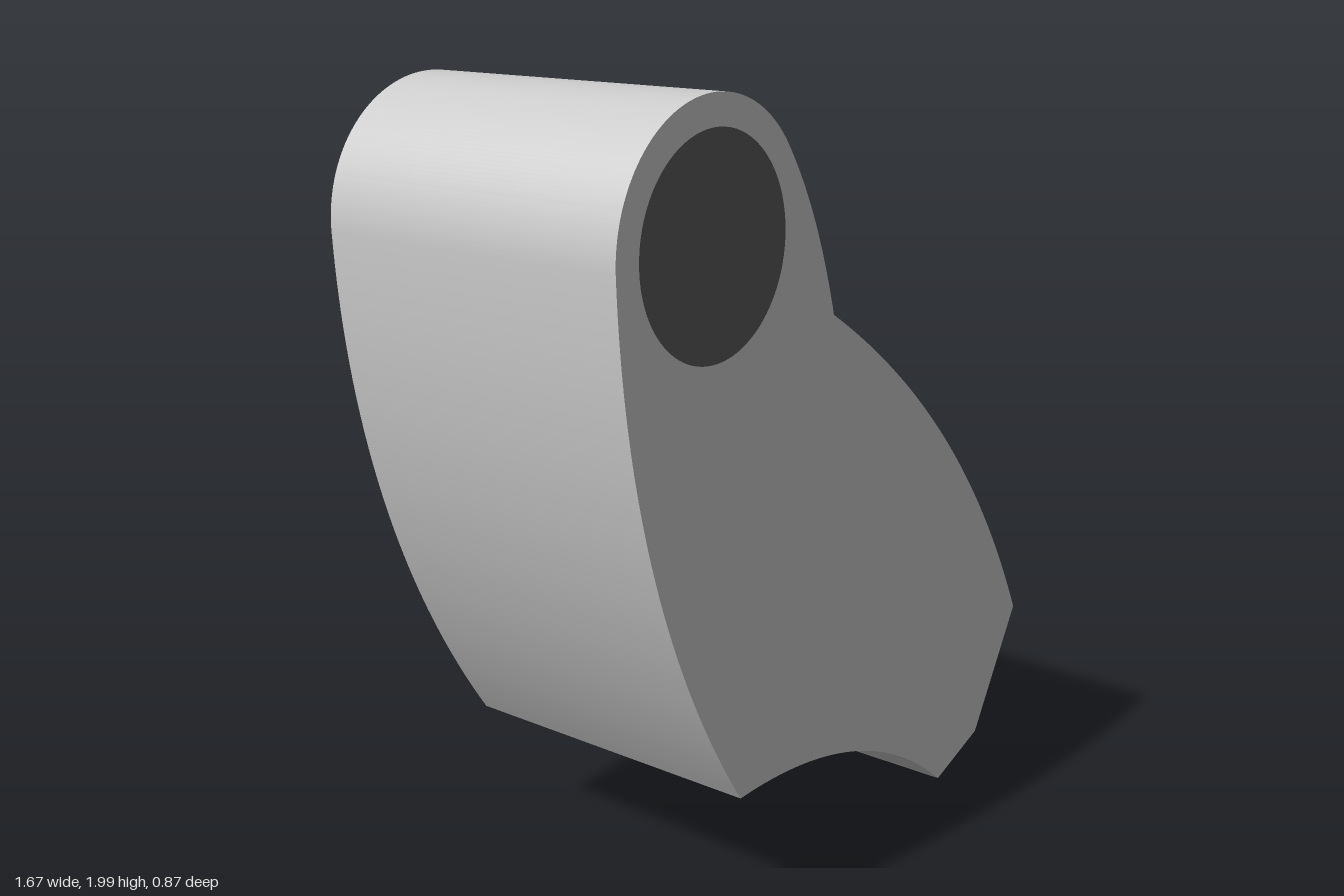
import * as THREE from 'three';
import { toCreasedNormals } from 'three/addons/utils/BufferGeometryUtils.js';

const DEPTH = 0.82;
const TILT = -0.024;
const PIN = { x: -0.52, y: 1.683, r: 0.247 };
const BOSS_R = 0.317;

export function createModel() {
  const group = new THREE.Group();
  const lever = new THREE.Group();
  lever.name = 'lever';

  // Lever outline, counter-clockwise from the lowest tip
  const start = THREE.MathUtils.degToRad(35);
  const outline = new THREE.Shape();
  outline.moveTo(0.432, 0.028);
  outline.lineTo(0.633, 0.088);
  outline.lineTo(0.835, 0.4);
  outline.quadraticCurveTo(0.525, 1.055, -0.085, 1.45); // convex flank
  outline.quadraticCurveTo(-0.147, 1.702,
    PIN.x + BOSS_R * Math.cos(start), PIN.y + BOSS_R * Math.sin(start)); // neck
  outline.absarc(PIN.x, PIN.y, BOSS_R, start, Math.PI, false); // rounded boss
  outline.quadraticCurveTo(-0.837, 0.977, -0.468, 0.38); // left flank
  outline.quadraticCurveTo(0.05, 0.38, 0.432, 0.028); // concave foot

  const bore = new THREE.Path();
  bore.absarc(PIN.x, PIN.y, PIN.r, 0, Math.PI * 2, true);
  outline.holes.push(bore);

  // Thick lever body
  const bodyGeometry = new THREE.ExtrudeGeometry(outline, {
    depth: DEPTH, bevelEnabled: false, curveSegments: 40,
  });
  bodyGeometry.translate(0, -1.01, -DEPTH / 2);
  const body = new THREE.Mesh(
    toCreasedNormals(bodyGeometry, 0.4),
    new THREE.MeshStandardMaterial({ color: 0xcccccc }),
  );
  body.name = 'leverBody';
  lever.add(body);

  // Dark pivot pin, flush with both faces
  const pin = new THREE.Mesh(
    new THREE.CylinderGeometry(PIN.r, PIN.r, DEPTH, 80),
    new THREE.MeshStandardMaterial({ color: 0x5a5a5a }),
  );
  pin.name = 'pivotPin';
  pin.rotation.x = Math.PI / 2;
  pin.position.set(PIN.x, PIN.y - 1.01, 0);
  lever.add(pin);

  // The whole lever leans slightly back
  lever.rotation.x = TILT;
  lever.position.y = 1;
  group.add(lever);
  return group;
}
